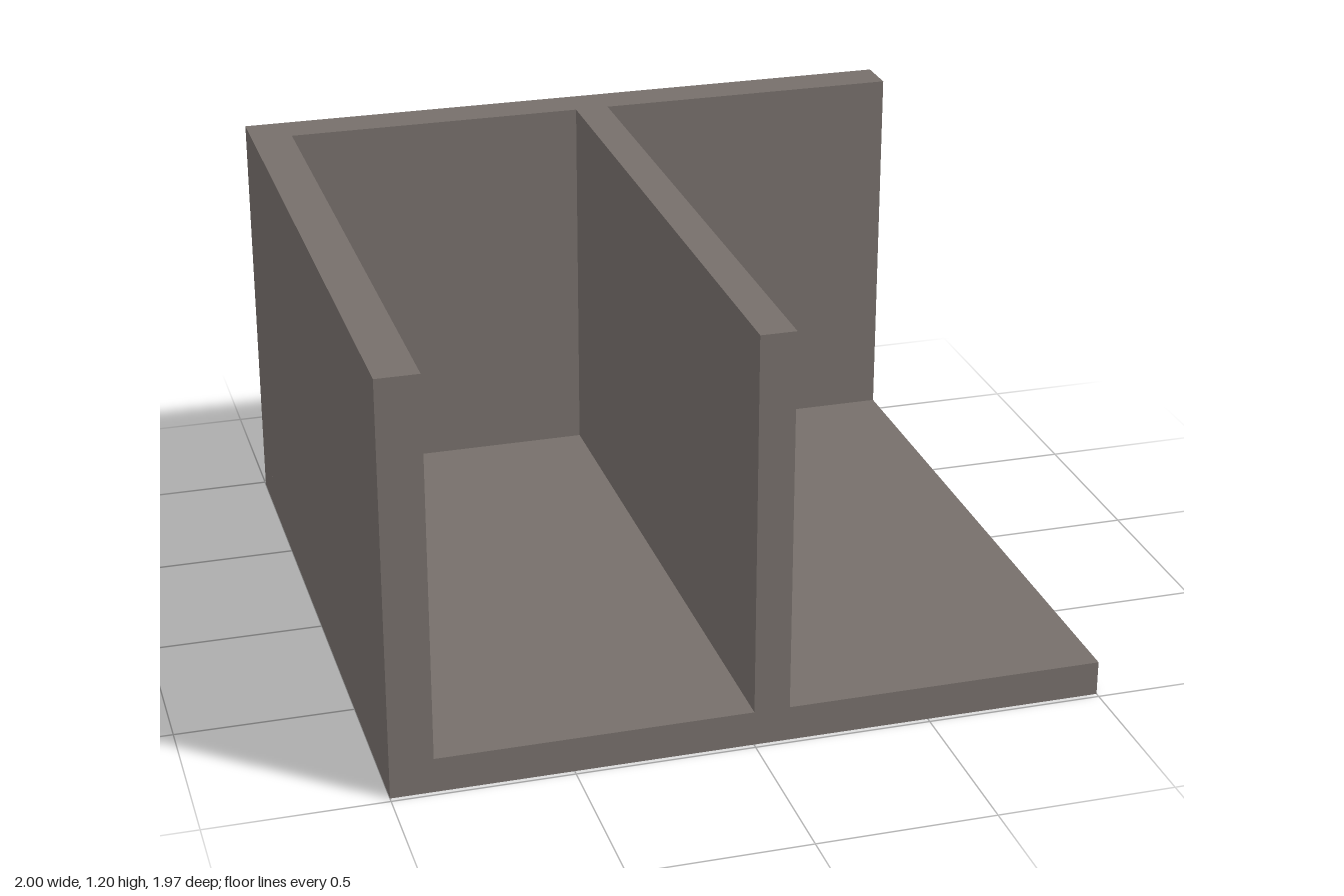
import * as THREE from 'three';

export function createModel() {
  const group = new THREE.Group();
  const warmGrey = new THREE.MeshStandardMaterial({ color: 0x766f6b });
  warmGrey.name = 'warmGrey';

  // Overall extents, floor thickness and inner face of the back wall
  const height = 1.2, depth = 0.985, floorTop = 0.1, backInner = -0.86;

  // Box panel given by its [min, max] extents on each axis
  function panel(name, [x0, x1], [y0, y1], [z0, z1]) {
    const geometry = new THREE.BoxGeometry(x1 - x0, y1 - y0, z1 - z0);
    const mesh = new THREE.Mesh(geometry, warmGrey);
    mesh.name = name;
    mesh.position.set((x0 + x1) / 2, (y0 + y1) / 2, (z0 + z1) / 2);
    group.add(mesh);
  }

  // Floor slab, open at the front and on the +x side
  panel('floor', [-1, 1], [0, floorTop], [-depth, depth]);

  // Upright walls standing on the floor
  panel('backWall', [-1, 1], [floorTop, height], [-depth, backInner]);
  panel('sideWall', [-1, -0.88], [floorTop, height], [backInner, depth]);
  panel('divider', [0, 0.1], [floorTop, height], [backInner, depth]);

  return group;
}
